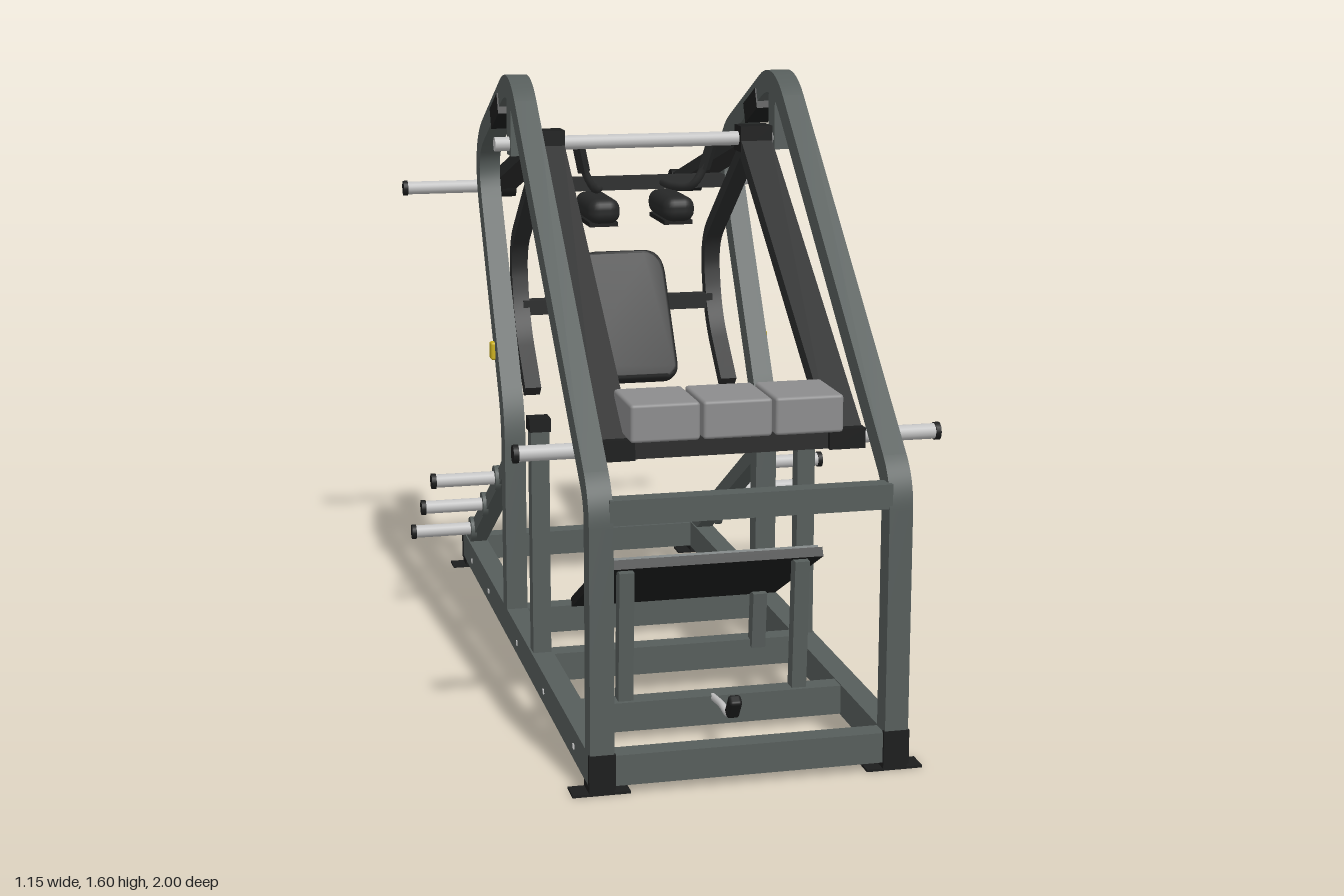
import * as THREE from 'three';
import { toCreasedNormals } from 'three/addons/utils/BufferGeometryUtils.js';
import { RoundedBoxGeometry } from 'three/addons/geometries/RoundedBoxGeometry.js';

const mat = (name, color) => Object.assign(new THREE.MeshStandardMaterial({ color }), { name });

export function createModel() {
  const root = new THREE.Group();
  root.name = 'legPressMachine';
  const frame = mat('frameGrey', 0x565d5b);
  const black = mat('armBlack', 0x2b2c2c);
  const pad = mat('padBlack', 0x262727);
  const cap = mat('capBlack', 0x1c1d1d);
  const steel = mat('steel', 0xc2c2c2);
  const roller = mat('blockGrey', 0x8c8c8d);
  const plate = mat('plateGrey', 0x666d6d);
  const yellow = mat('pinYellow', 0xc9ae1e);

  const add = (name, geo, m, x = 0, y = 0, z = 0) => {
    const mesh = new THREE.Mesh(geo, m);
    mesh.name = name;
    mesh.position.set(x, y, z);
    root.add(mesh);
    return mesh;
  };
  const box = (name, m, w, h, d, x, y, z) => add(name, new THREE.BoxGeometry(w, h, d), m, x, y, z);
  const soft = (name, m, w, h, d, r, x, y, z) => add(name, new RoundedBoxGeometry(w, h, d, 3, r), m, x, y, z);

  // Straight square bar between two points
  const bar = (name, m, a, b, w, h) => {
    const A = new THREE.Vector3(...a), B = new THREE.Vector3(...b);
    const mid = A.clone().add(B).multiplyScalar(0.5);
    const mesh = add(name, new THREE.BoxGeometry(w, h, A.distanceTo(B)), m, mid.x, mid.y, mid.z);
    mesh.lookAt(B);
    return mesh;
  };
  // Cylinder running along x
  const rod = (name, m, x0, x1, y, z, r) => {
    const geo = new THREE.CylinderGeometry(r, r, Math.abs(x1 - x0), 20).rotateZ(Math.PI / 2);
    return add(name, geo, m, (x0 + x1) / 2, y, z);
  };
  const tube = (name, m, pts, r) => add(name, new THREE.TubeGeometry(
    new THREE.CatmullRomCurve3(pts.map(p => new THREE.Vector3(...p)), false, 'centripetal'), 28, r, 10), m);

  // Bent square tube in a side plane; points are [z, y, trim length of the bend]
  const bentTube = (name, m, x, pts, width, thick) => {
    const P = pts.map(p => new THREE.Vector2(p[0], p[1]));
    const path = new THREE.Path().moveTo(P[0].x, P[0].y);
    for (let i = 1; i < P.length - 1; i++) {
      const toward = q => P[i].clone().add(q.clone().sub(P[i]).setLength(pts[i][2]));
      const a = toward(P[i - 1]), b = toward(P[i + 1]);
      path.lineTo(a.x, a.y).quadraticCurveTo(P[i].x, P[i].y, b.x, b.y);
    }
    path.lineTo(P.at(-1).x, P.at(-1).y);
    const c = path.getPoints(10);
    const side = s => c.map((p, i) => {
      const t = c[Math.min(i + 1, c.length - 1)].clone().sub(c[Math.max(i - 1, 0)]).normalize();
      return new THREE.Vector2(p.x - t.y * s, p.y + t.x * s);
    });
    const shape = new THREE.Shape([...side(thick / 2), ...side(-thick / 2).reverse()]);
    const geo = new THREE.ExtrudeGeometry(shape, { depth: width, bevelEnabled: false });
    geo.translate(0, 0, -width / 2).rotateY(-Math.PI / 2);
    add(name, toCreasedNormals(geo, 0.6), m, x);
  };

  // Plate horn with flange and end cap, pointing outward
  const horn = (name, s, x0, x1, y, z) => {
    rod(name, steel, s * x0, s * x1, y, z, 0.019);
    rod(name + 'Cap', cap, s * (x1 - 0.005), s * (x1 + 0.008), y, z, 0.022);
  };

  // Base cross beams
  for (const z of [0.965, 0.62, 0.21, -0.195, -0.96])
    box('baseCrossBeam', frame, 0.68, 0.075, 0.055, 0, 0.06, z);
  box('upperFrontBeam', frame, 0.68, 0.06, 0.045, 0, 0.685, 0.975);

  for (const s of [-1, 1]) {
    const x = s * 0.361;
    // Base rail, end caps and feet
    box('baseRail', frame, 0.058, 0.08, 1.98, x, 0.06, 0);
    for (const e of [-1, 1]) {
      box('railCap', cap, 0.064, 0.086, 0.012, x, 0.06, e * 0.994);
      box('footPad', cap, 0.06, 0.02, 0.06, x, 0.012, e * 0.96);
      box('footPlate', cap, 0.14, 0.006, 0.06, x, 0.003, e * 0.96);
    }
    for (const z of [0.8, 0.4, 0, -0.49, -0.81])
      box('railDot', steel, 0.004, 0.012, 0.012, s * 0.391, 0.055, z);

    // Bent main frame
    bentTube('sideFrame', frame, x, [[0.968, 0.09], [0.968, 0.71, 0.06], [-0.05, 1.6, 0.12],
      [-0.627, 1.345, 0.17], [-0.195, 0.645, 0.08], [-0.195, 0.09]], 0.058, 0.06);
    box('pivotBracket', frame, 0.05, 0.17, 0.06, x, 1.475, -0.058);
    bar('framePlate', cap, [x, 1.515, -0.19], [x, 1.462, -0.31], 0.066, 0.058);
    soft('lockPin', yellow, 0.02, 0.05, 0.032, 0.006, s * 0.392, 0.81, -0.325);

    // Stop post and rear storage brace
    box('stopPost', frame, 0.048, 0.62, 0.045, x, 0.4, 0.203);
    box('stopPostCap', cap, 0.056, 0.035, 0.054, x, 0.718, 0.203);
    bar('rearBrace', frame, [x, 0.505, -0.21], [x, 0.085, -0.94], 0.05, 0.045);
    for (const [y, z] of [[0.44, -0.33], [0.3, -0.568], [0.16, -0.808]]) {
      rod('hornFlange', frame, s * 0.38, s * 0.396, y, z, 0.035);
      horn('storageHorn', s, 0.39, 0.567, y, z);
    }

    // Press arm, rear lever and their horns
    const ax = s * 0.285;
    bar('pressArm', black, [ax, 1.425, -0.07], [ax, 0.775, 0.8], 0.086, 0.042);
    box('pressArmEnd', cap, 0.09, 0.05, 0.06, ax, 0.785, 0.785);
    box('pivotBlock', cap, 0.088, 0.07, 0.07, ax, 1.42, -0.057);
    horn('frontHorn', s, 0.32, 0.52, 0.785, 0.783);
    bar('rearLever', black, [ax, 1.42, -0.06], [ax, 1.21, -0.84], 0.086, 0.034);
    rod('rearLeverEnd', cap, s * 0.24, s * 0.333, 1.21, -0.832, 0.034);
    horn('rearHorn', s, 0.33, 0.567, 1.21, -0.832);

    // Curved arm carrying the back pad, with hand grip
    bentTube('padArm', black, ax, [[-0.06, 1.42], [-0.53, 1.07, 0.09], [-0.485, 0.86, 0.1],
      [-0.31, 0.69]], 0.046, 0.036);

    // Shoulder pad with base plate and handle
    soft('shoulderPad', pad, 0.09, 0.07, 0.22, 0.03, s * 0.105, 1.215, -0.262);
    box('shoulderPlate', cap, 0.08, 0.012, 0.18, s * 0.105, 1.178, -0.265);
    tube('shoulderHandle', black, [[s * 0.1, 1.268, -0.36], [s * 0.11, 1.272, -0.22], [s * 0.14, 1.285, -0.15],
      [s * 0.165, 1.33, -0.135], [s * 0.185, 1.4, -0.12]], 0.011);
    bar('handleGrip', pad, [s * 0.168, 1.33, -0.135], [s * 0.185, 1.4, -0.12], 0.024, 0.024);

    // Foot platform legs
    bar('platformFrontLeg', frame, [s * 0.225, 0.08, 0.615], [s * 0.225, 0.435, 0.635], 0.038, 0.038);
    bar('platformRearLeg', frame, [s * 0.225, 0.08, 0.235], [s * 0.225, 0.235, 0.25], 0.038, 0.038);
  }

  // Pivot axle and carriage cross bars
  rod('pivotAxle', steel, -0.425, 0.425, 1.42, -0.057, 0.019);
  box('shoulderBar', black, 0.56, 0.036, 0.045, 0, 1.268, -0.365);
  box('padCrossBar', black, 0.56, 0.042, 0.042, 0, 0.9, -0.49);
  box('frontCrossBar', black, 0.62, 0.05, 0.05, 0, 0.785, 0.775);

  // Front resistance blocks
  for (const i of [-1, 0, 1])
    soft('resistanceBlock', roller, 0.168, 0.092, 0.19, 0.008, i * 0.176 - 0.002, 0.86, 0.77);

  // Back pad with narrowing top and a backing board
  const outline = new THREE.Shape().moveTo(-0.1, -0.18).lineTo(0.1, -0.18)
    .quadraticCurveTo(0.128, -0.18, 0.128, -0.15).lineTo(0.118, 0.12)
    .quadraticCurveTo(0.115, 0.18, 0.07, 0.18).lineTo(-0.07, 0.18)
    .quadraticCurveTo(-0.115, 0.18, -0.118, 0.12).lineTo(-0.128, -0.15)
    .quadraticCurveTo(-0.128, -0.18, -0.1, -0.18);
  const padGeo = new THREE.ExtrudeGeometry(outline,
    { depth: 0.035, bevelSize: 0.012, bevelThickness: 0.014, bevelSegments: 3, curveSegments: 6 });
  const backPad = add('backPad', toCreasedNormals(padGeo, 0.7), pad, 0, 0.868, -0.42);
  backPad.rotation.x = -0.44;
  const board = box('backPadBoard', cap, 0.2, 0.34, 0.02, 0, 0.855, -0.442);
  board.rotation.x = -0.44;

  // Sloping foot platform
  bar('footPlatform', cap, [0, 0.455, 0.645], [0, 0.23, 0.215], 0.56, 0.024);
  bar('footPlatformTop', plate, [0, 0.464, 0.628], [0, 0.25, 0.219], 0.545, 0.008);

  // Release pedal
  tube('pedalRod', steel, [[0, 0.09, 0.63], [0, 0.1, 0.72], [0, 0.1, 0.79], [0, 0.13, 0.825]], 0.009);
  const pedal = soft('pedal', cap, 0.032, 0.062, 0.03, 0.008, 0, 0.135, 0.833);
  pedal.rotation.x = 0.6;

  return root;
}
